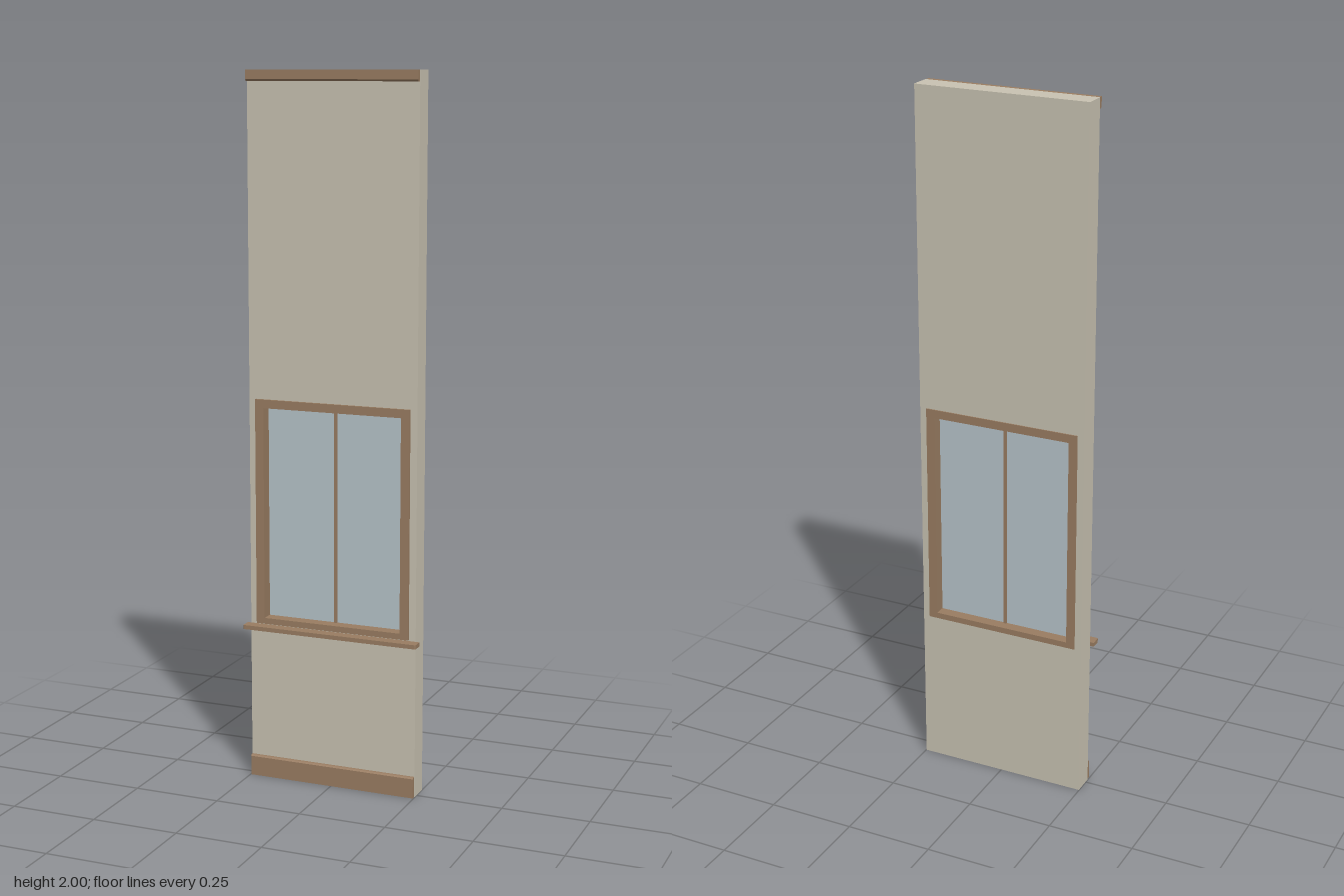
import * as THREE from 'three';

const mat = (name, color) => {
  const m = new THREE.MeshStandardMaterial({ color });
  m.name = name;
  return m;
};

// Rectangle outline; usable as a shape or as a hole
function rect(Type, x, y0, y1) {
  const p = new Type();
  p.moveTo(-x, y0);
  p.lineTo(x, y0);
  p.lineTo(x, y1);
  p.lineTo(-x, y1);
  p.closePath();
  return p;
}

// Flat panel with a rectangular opening, from z0 to z1
function framePanel(outer, inner, z0, z1) {
  const s = rect(THREE.Shape, ...outer);
  s.holes.push(rect(THREE.Path, ...inner));
  return new THREE.ExtrudeGeometry(s, { depth: z1 - z0, bevelEnabled: false }).translate(0, 0, z0);
}

// Moulding: a [z, y] profile run along x
function moulding(profile, halfWidth) {
  const s = new THREE.Shape(profile.map(([z, y]) => new THREE.Vector2(-z, y)));
  return new THREE.ExtrudeGeometry(s, { depth: 2 * halfWidth, bevelEnabled: false })
    .rotateY(Math.PI / 2)
    .translate(-halfWidth, 0, 0);
}

export function createModel() {
  const group = new THREE.Group();
  const plaster = mat('plaster', 0xc9c3b2);
  const wood = mat('wood', 0x9a7d62);
  const glass = mat('glass', 0xb8c5cb);

  const add = (name, geometry, material) => {
    const m = new THREE.Mesh(geometry, material);
    m.name = name;
    group.add(m);
  };
  const box = (w, h, d, x, y, z) => new THREE.BoxGeometry(w, h, d).translate(x, y, z);

  const back = -0.047, front = 0.015, mid = (back + front) / 2;
  const outer = [0.229, 0.455, 1.1];
  const hole = [0.212, 0.465, 1.083];
  const opening = [0.204, 0.472, 1.076];

  // Wall with window opening
  add('wall', framePanel([0.249, 0, 2], hole, back, front), plaster);

  // Window: casings on both faces, jamb lining, glass and mullion
  add('frontCasing', framePanel(outer, opening, front, 0.022), wood);
  add('backCasing', framePanel(outer, opening, -0.05, back), wood);
  add('jambLining', framePanel(hole, opening, back, front), wood);
  add('glass', box(0.408, 0.604, 0.004, 0, 0.774, mid), glass);
  add('mullion', box(0.009, 0.604, 0.014, 0, 0.774, mid), wood);

  // Sill with rounded corners
  const r = 0.004, x = 0.26, z0 = front, z1 = 0.047;
  const sill = new THREE.Shape();
  sill.moveTo(-x, -z0);
  sill.lineTo(-x, -z1 + r);
  sill.quadraticCurveTo(-x, -z1, -x + r, -z1);
  sill.lineTo(x - r, -z1);
  sill.quadraticCurveTo(x, -z1, x, -z1 + r);
  sill.lineTo(x, -z0);
  sill.closePath();
  add('sill', new THREE.ExtrudeGeometry(sill, { depth: 0.012, bevelEnabled: false, curveSegments: 4 })
    .rotateX(-Math.PI / 2).translate(0, 0.44, 0), wood);

  // Skirting and cornice, with slightly eased edges
  add('skirting', moulding([[front, 0], [0.026, 0], [0.026, 0.056], [0.022, 0.06], [front, 0.06]], 0.248), wood);
  add('cornice', moulding([[front, 1.97], [0.024, 1.97], [0.028, 1.975], [0.028, 2], [front, 2]], 0.248), wood);

  return group;
}
